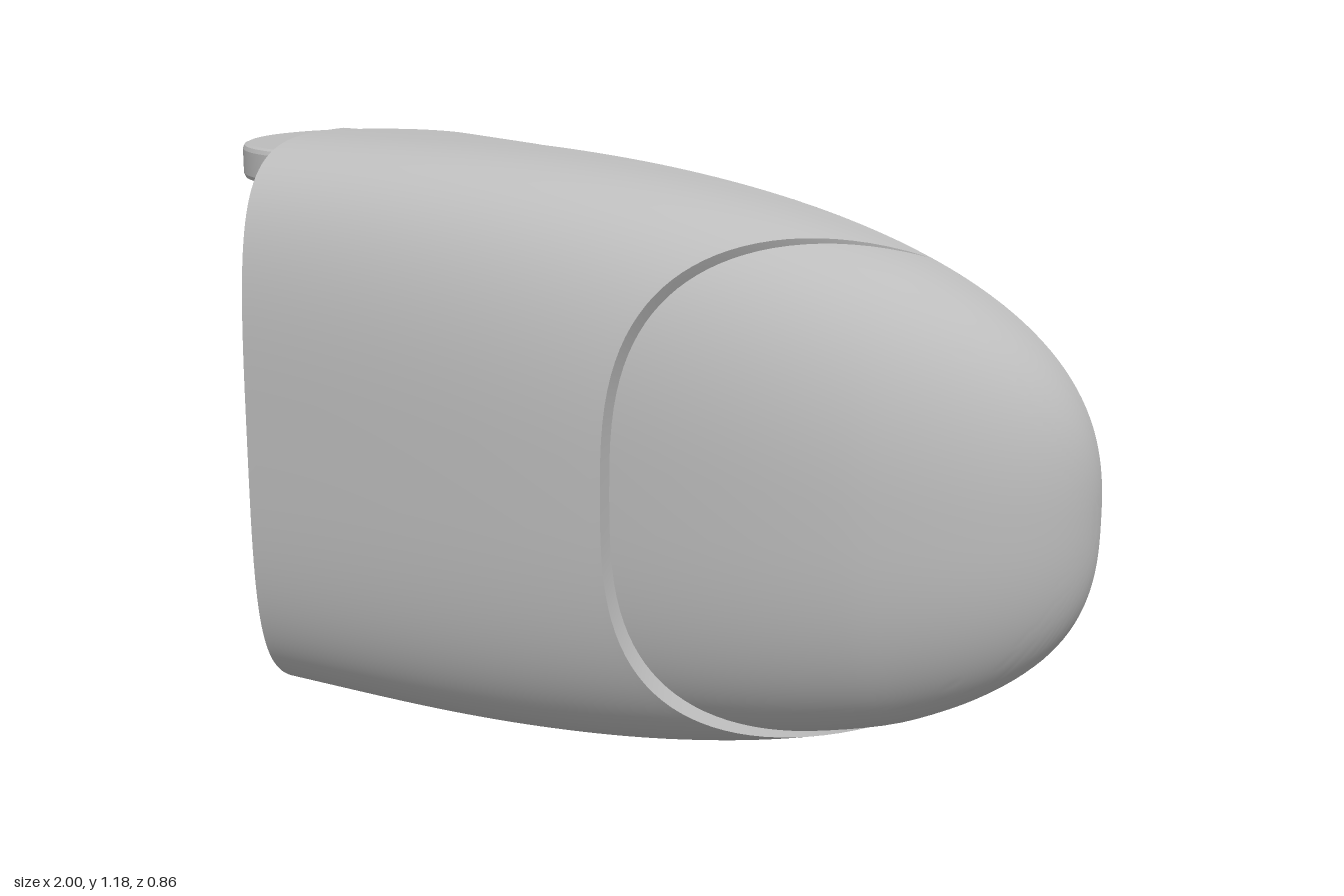
import * as THREE from 'three';
import { toCreasedNormals } from 'three/addons/utils/BufferGeometryUtils.js';

const CY = 0.595, Z0 = 0.035;   // centre height, parting plane
const gray = new THREE.MeshStandardMaterial({ color: 0xbcbcbc, side: THREE.DoubleSide });
gray.name = 'gray';

const arch = (t, p, q) => Math.pow(Math.max(0, 1 - Math.pow(Math.min(1, Math.max(0, t)), p)), 1 / q);
const spow = (v, e) => Math.sign(v) * Math.pow(Math.abs(v), e);
const lerp = THREE.MathUtils.lerp;

// Half height and depth of the front cover along x
const coverH = (x) => 0.592 * arch((x + 0.5) / 1.5, 2.3, 2.6);
const coverD = (x) => 0.395 * arch((x + 0.7) / 1.7, 3.5, 1.8);
function coverPoint(x, a, off) {
  const e = 2 / lerp(3.5, 2.3, (x + 0.7) / 1.7);
  return [x,
    CY + Math.max(0, coverH(x) - off) * spow(Math.cos(a), e),
    Z0 + Math.max(0, coverD(x) - off) * Math.pow(Math.max(0, Math.sin(a)), e)];
}
// How far the tip pad sits below the cover
const padInset = (x) => 0.03 * Math.max(0, (0.66 - x) / 0.46);
// Rear dome profile, 1 at the seam and 0 at the tip
const domeArch = (x) => arch((x + 0.2) / 1.15, 2.3, 2.35);

// Surface from a rule fn(u, v); skip(i, j) leaves openings
function surface(fn, nu, nv, skip = () => false) {
  const pos = [], idx = [];
  for (let i = 0; i <= nu; i++) for (let j = 0; j <= nv; j++) pos.push(...fn(i / nu, j / nv));
  for (let i = 0; i < nu; i++) for (let j = 0; j < nv; j++) {
    if (skip(i, j)) continue;
    const a = i * (nv + 1) + j, b = a + nv + 1;
    idx.push(a, b, a + 1, b, b + 1, a + 1);
  }
  const g = new THREE.BufferGeometry();
  g.setAttribute('position', new THREE.Float32BufferAttribute(pos, 3));
  g.setIndex(idx);
  return toCreasedNormals(g, 0.6);
}

// Rear half sections through stations [x, halfHeight, depth, squareness]
function rearLoft(stations, skip) {
  const n = stations.length - 1;
  return surface((u, v) => {
    const [x, h, d, sq = 2.08] = stations[Math.round(u * n)], a = Math.PI * (1 - v);
    return [x, CY + h * spow(Math.cos(a), 2 / sq), Z0 - d * Math.pow(Math.max(0, Math.sin(a)), 2 / sq)];
  }, n, 48, skip);
}

// Horizontal slab from a shape drawn in x, z
function slab(shape, y0, y1, bevel = 0.012) {
  const g = new THREE.ExtrudeGeometry(shape, {
    depth: y1 - y0 - 2 * bevel, curveSegments: 32, bevelEnabled: bevel > 0,
    bevelSize: bevel, bevelOffset: -bevel, bevelThickness: bevel, bevelSegments: 2,
  });
  g.rotateX(Math.PI / 2).translate(0, y1 - bevel, 0);
  return toCreasedNormals(g, 0.3);
}

function plateShape(holeX, holeR) {
  const s = new THREE.Shape();
  s.moveTo(-0.32, 0.19);
  s.lineTo(-0.74, 0.195);
  s.absarc(-0.735, -0.07, 0.265, Math.PI / 2, Math.PI * 1.5 + 0.33, false);
  s.lineTo(-0.4, -0.23);
  s.quadraticCurveTo(-0.36, -0.215, -0.335, -0.2);
  s.lineTo(-0.32, -0.1);
  s.closePath();
  const hole = new THREE.Path();
  hole.absarc(holeX, -0.07, holeR, 0, Math.PI * 2, true);
  s.holes.push(hole);
  return s;
}

// Rounded lug running from the pivot and narrowing to the wall
function lugShape(r) {
  const s = new THREE.Shape();
  s.moveTo(-0.35, -0.07 + r);
  s.lineTo(-0.74, -0.07 + r);
  s.absarc(-0.74, -0.07, r, Math.PI / 2, Math.PI * 1.5 + 0.2, false);
  s.lineTo(-0.42, -0.2);
  s.lineTo(-0.35, -0.19);
  s.closePath();
  return s;
}

export function createModel() {
  const model = new THREE.Group();
  model.name = 'fingertipJoint';
  const add = (name, geo, parent = model) => {
    const m = new THREE.Mesh(geo, gray);
    m.name = name;
    parent.add(m);
  };
  const box = (name, x0, x1, y0, y1, z0, z1) => add(name,
    new THREE.BoxGeometry(x1 - x0, y1 - y0, z1 - z0)
      .translate((x0 + x1) / 2, (y0 + y1) / 2, (z0 + z1) / 2));

  // Front cover: a shell cut off by a slanting plane at the pad
  const cover = new THREE.Group();
  cover.name = 'frontCover';
  model.add(cover);
  const startX = (a) => -0.71 + 0.06 * Math.sin(a) ** 2;
  const endX = (a) => {
    let x = 0.4;
    for (let k = 0; k < 25; k++) x = 0.2 + (0.4 - coverPoint(x, a, 0)[2]) * 1.26;
    return x;
  };
  const shell = (off) => (u, v) => {
    const a = Math.PI * v;
    return coverPoint(lerp(startX(a), endX(a), u), a, off);
  };
  add('coverOutside', surface(shell(0), 40, 64), cover);
  add('coverInside', surface(shell(0.03), 40, 64), cover);
  add('coverOpenEdge', surface((u, v) => coverPoint(startX(Math.PI * v), Math.PI * v, 0.03 * u), 1, 64), cover);
  add('coverLip', surface((u, v) => {
    const x = endX(Math.PI * v);
    return coverPoint(x, Math.PI * v, padInset(x) * u);
  }, 1, 64), cover);
  for (const a of [0, Math.PI]) {
    add('coverSideEdge', surface((u, v) => coverPoint(lerp(-0.71, -0.35, u), a, 0.03 * v), 12, 1), cover);
  }

  // Rounded pad at the tip
  add('tipPad', surface((u, v) => {
    const x = 1 - 0.85 * (1 - u) ** 2.4;
    return coverPoint(x, Math.PI * v, padInset(x));
  }, 40, 64));

  // Flat ledge between cover and rear dome
  const ledge = new THREE.Shape();
  const ledgeX = Array.from({ length: 41 }, (_, i) => 1 - 1.35 * (1 - i / 40) ** 2.4);
  ledgeX.forEach((x, i) => ledge[i ? 'lineTo' : 'moveTo'](x, CY + coverH(x)));
  ledgeX.reverse().forEach((x) => ledge.lineTo(x, CY - coverH(x)));
  add('ledge', new THREE.ShapeGeometry(ledge).rotateY(Math.PI)
    .scale(-1, 1, 1).translate(0, 0, Z0));

  // Rear dome
  const dome = Array.from({ length: 41 }, (_, i) => {
    const x = 0.95 - 1.12 * (1 - i / 40) ** 2.4, k = domeArch(x);
    return [x, 0.505 * k, 0.468 * k];
  });
  add('rearDome', rearLoft(dome));
  add('seamGroove', rearLoft([[-0.19, 0.505, 0.468], [-0.19, 0.485, 0.448],
    [-0.17, 0.485, 0.448], [-0.17, 0.505, 0.468]]));

  // Small latch on the tip of the dome
  const latchX = (y, z) => -0.2 + 1.15 * arch(Math.hypot(y / 0.505, (z - Z0) / 0.468), 2.35, 2.3);
  add('latch', surface((u, v) => {
    const y = lerp(-0.085, 0.085, u), z = lerp(-0.1, -0.01, v);
    const edge = u === 0 || u === 1 || v === 0 || v === 1;
    return [latchX(y, z) + (edge ? -0.01 : 0.006), CY + y, z];
  }, 24, 12));

  // Flange flaring from the hinge plates to the dome, with an opening
  const flare = [[-0.365, 0, 0, 8], [-0.365, 0.554, 0.25, 8], [-0.335, 0.554, 0.254, 6.5],
    [-0.31, 0.552, 0.28, 4.6], [-0.285, 0.547, 0.325, 3.4], [-0.26, 0.539, 0.385, 2.7],
    [-0.235, 0.528, 0.44, 2.3], [-0.215, 0.516, 0.465, 2.15], [-0.19, 0.505, 0.468]];
  add('flange', rearLoft(flare, (i, j) => i > 3 && i < 7 && j > 20 && j < 27));
  box('hingeWall', -0.36, -0.2, 0.16, 1.03, -0.15, 0.22);

  // Hinge plates
  add('upperPlate', slab(plateShape(-0.48, 0.076), 1.075, 1.15));
  add('lowerPlate', slab(plateShape(-0.735, 0.062), 0.04, 0.112));

  // Pivot lug, its collar and the support below
  add('pivotBarrel', slab(lugShape(0.19), 0.71, 1.08, 0));
  add('pivotCollar', slab(lugShape(0.225), 0.53, 0.73, 0.025));
  box('supportBlock', -0.55, -0.35, 0.1, 0.54, -0.06, 0.18);

  // Screw in the upper plate
  const screw = new THREE.Group();
  screw.name = 'screw';
  screw.position.set(-0.48, 1.125, -0.07);
  model.add(screw);
  add('screwHead', new THREE.CylinderGeometry(0.058, 0.066, 0.03, 32), screw);
  add('screwSeat', new THREE.CylinderGeometry(0.08, 0.08, 0.02, 32).translate(0, -0.02, 0), screw);
  for (const turn of [Math.PI / 4, -Math.PI / 4]) {
    add('screwCross', new THREE.BoxGeometry(0.07, 0.008, 0.014).rotateY(turn).translate(0, 0.016, 0), screw);
  }
  return model;
}
